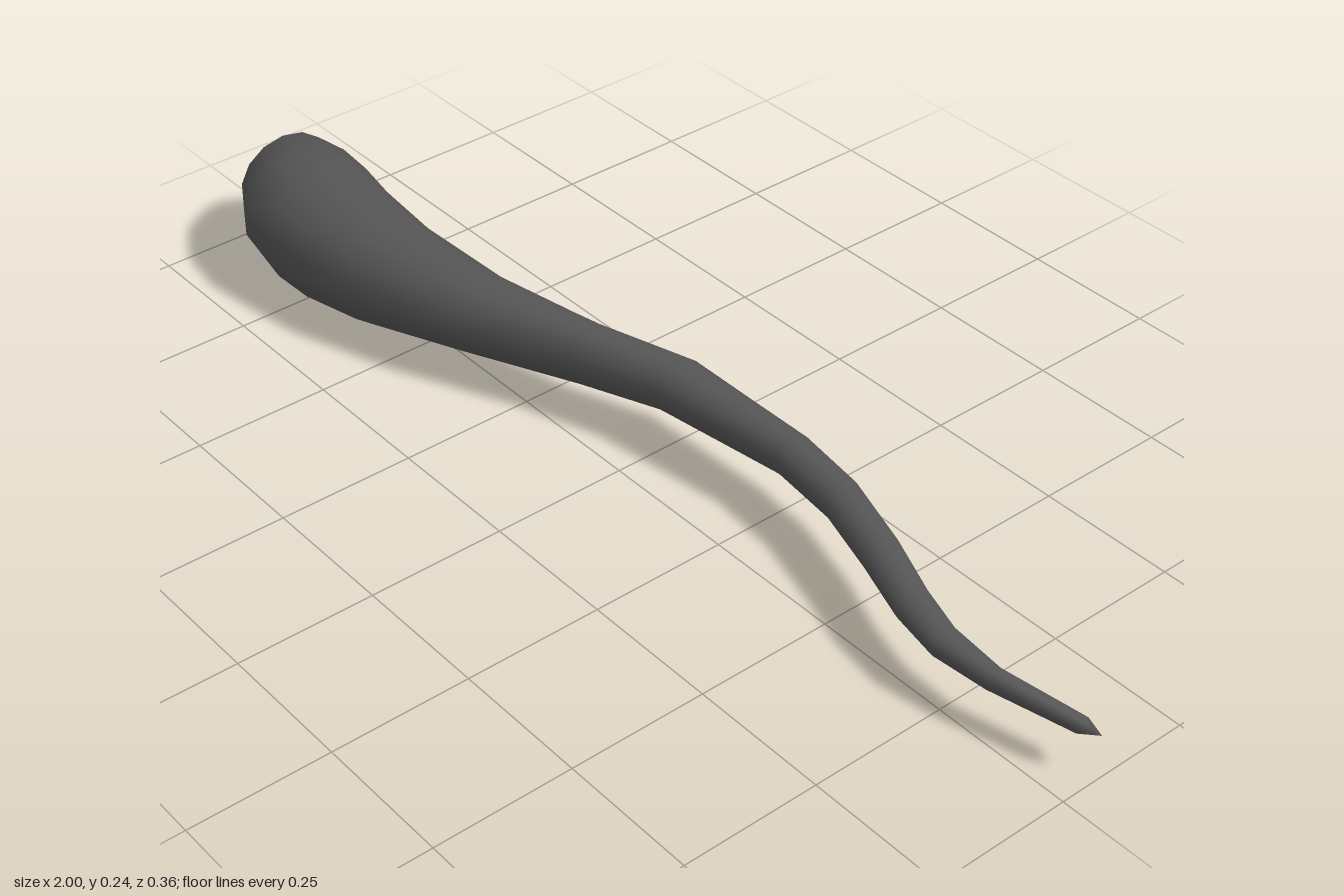
import * as THREE from 'three';

// Cross-sections along the body: x, bottom y, top y, back z, front z
const SECTIONS = [
  [-0.985, 0.09, 0.185, -0.04, 0.06],
  [-0.94, 0.05, 0.22, -0.077, 0.117],
  [-0.86, 0.018, 0.24, -0.085, 0.165],
  [-0.78, 0.006, 0.244, -0.078, 0.178],
  [-0.7, 0.002, 0.235, -0.066, 0.17],
  [-0.57, 0.022, 0.22, -0.056, 0.15],
  [-0.38, 0.05, 0.198, -0.067, 0.085],
  [-0.16, 0.063, 0.18, -0.115, -0.018],
  [0, 0.07, 0.17, -0.175, -0.075],
  [0.14, 0.075, 0.16, -0.18, -0.094],
  [0.26, 0.079, 0.153, -0.184, -0.11],
  [0.39, 0.079, 0.145, -0.17, -0.095],
  [0.52, 0.077, 0.137, -0.13, -0.055],
  [0.63, 0.077, 0.131, -0.085, -0.016],
  [0.72, 0.076, 0.124, -0.057, 0],
  [0.82, 0.074, 0.115, -0.05, -0.013],
  [0.965, 0.073, 0.101, -0.08, -0.05],
];
const SIDES = 14;

// Smooth skin through oval rings, closed by a point at each end
function skin(sections, startTip, endTip) {
  const points = [];
  const index = [];
  for (const [x, y0, y1, z0, z1] of sections) {
    for (let i = 0; i < SIDES; i++) {
      const a = (i / SIDES) * Math.PI * 2;
      points.push(
        x,
        (y0 + y1) / 2 + ((y1 - y0) / 2) * Math.cos(a),
        (z0 + z1) / 2 + ((z1 - z0) / 2) * Math.sin(a)
      );
    }
  }
  const start = points.length / 3;
  points.push(...startTip, ...endTip);
  const last = (sections.length - 1) * SIDES;
  for (let i = 0; i < SIDES; i++) {
    const j = (i + 1) % SIDES;
    for (let r = 0; r < last; r += SIDES) {
      index.push(r + i, r + SIDES + i, r + j, r + j, r + SIDES + i, r + SIDES + j);
    }
    index.push(start, i, j, start + 1, last + j, last + i);
  }
  const geometry = new THREE.BufferGeometry();
  geometry.setAttribute('position', new THREE.Float32BufferAttribute(points, 3));
  // Ring order runs from +y to +z, so reverse each triangle to face outward
  for (let k = 0; k < index.length; k += 3) {
    const [a, b, c] = [0, 1, 2].map((n) => new THREE.Vector3().fromArray(points, index[k + n] * 3));
    const mid = a.clone().add(b).add(c).divideScalar(3);
    const normal = b.clone().sub(a).cross(c.clone().sub(a));
    const s = sections.reduce((p, q) => (Math.abs(q[0] - mid.x) < Math.abs(p[0] - mid.x) ? q : p));
    const core = new THREE.Vector3(s[0], (s[1] + s[2]) / 2, (s[3] + s[4]) / 2);
    if (normal.dot(mid.sub(core)) < 0) [index[k + 1], index[k + 2]] = [index[k + 2], index[k + 1]];
  }
  geometry.setIndex(index);
  geometry.computeVertexNormals();
  return geometry;
}

export function createModel() {
  const group = new THREE.Group();
  const material = new THREE.MeshStandardMaterial({ color: 0x555555 });
  // Rounded head tapering into a winding tail
  const body = new THREE.Mesh(skin(SECTIONS, [-1, 0.14, 0.012], [1, 0.09, -0.068]), material);
  body.name = 'taperedBody';
  group.add(body);
  return group;
}
